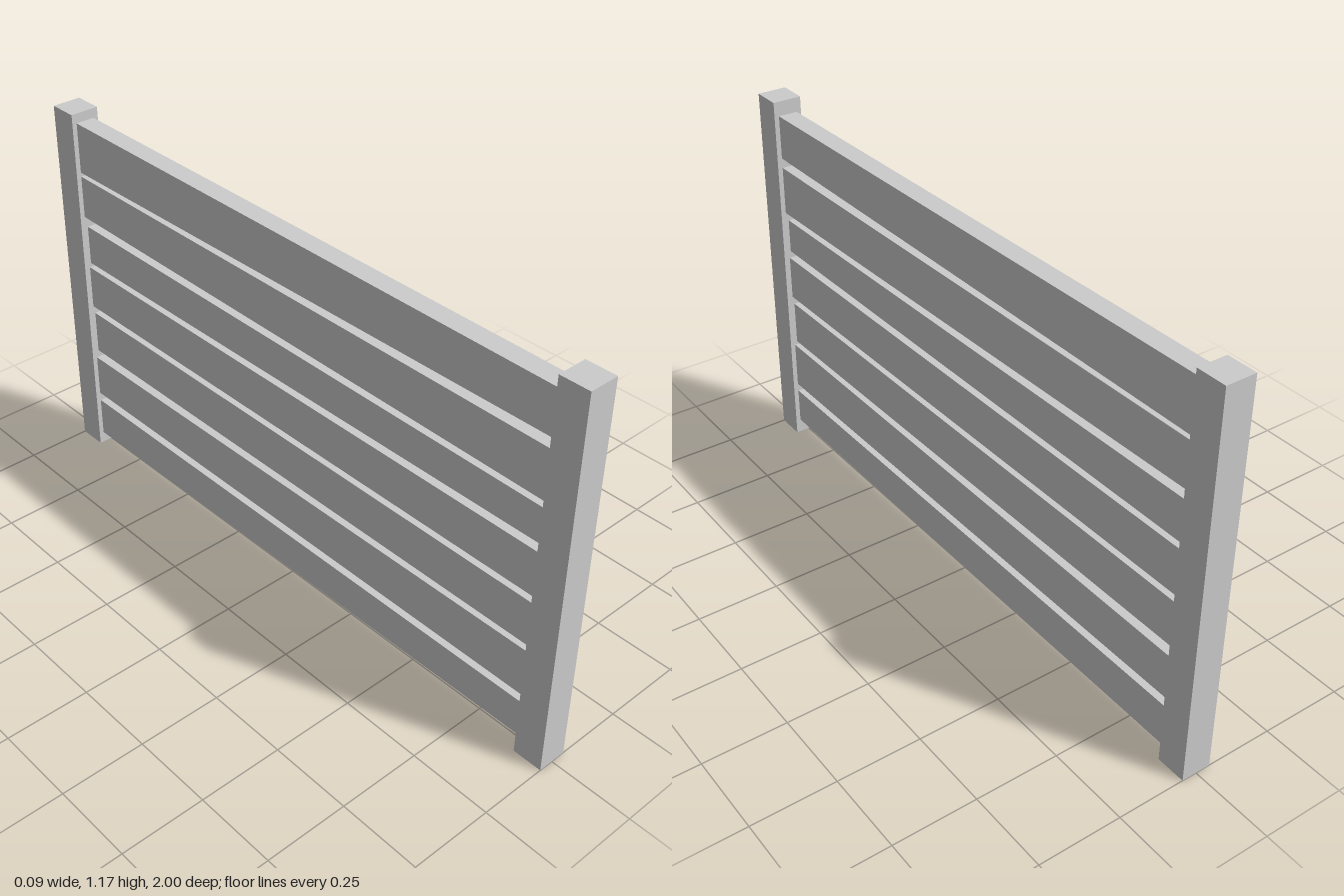
import * as THREE from 'three';

const material = new THREE.MeshStandardMaterial({ color: 0xcccccc, flatShading: true });

const POST = 0.09, HEIGHT = 1.17, INNER = 1 - POST;

// Each plank: bottom and top at the front end, bottom and top at the back end, half thickness
const PLANKS = [
  [0.046, 0.161, 0.037, 0.166, 0.03],
  [0.187, 0.337, 0.195, 0.332, 0.03],
  [0.348, 0.487, 0.356, 0.495, 0.022],
  [0.514, 0.653, 0.522, 0.661, 0.027],
  [0.675, 0.782, 0.675, 0.8, 0.022],
  [0.809, 0.959, 0.836, 0.97, 0.03],
  [0.99, 1.125, 0.983, 1.14, 0.03],
];

// Slightly tapered board running along z between the posts
function makePlank([frontLow, frontHigh, backLow, backHigh, half]) {
  const outline = new THREE.Shape([
    new THREE.Vector2(-INNER, backLow),
    new THREE.Vector2(INNER, frontLow),
    new THREE.Vector2(INNER, frontHigh),
    new THREE.Vector2(-INNER, backHigh),
  ]);
  const geometry = new THREE.ExtrudeGeometry(outline, { depth: 2 * half, bevelEnabled: false });
  geometry.translate(0, 0, -half).rotateY(-Math.PI / 2);
  return new THREE.Mesh(geometry, material);
}

export function createModel() {
  const fence = new THREE.Group();
  fence.name = 'fencePanel';

  // Square end posts
  for (const [name, side] of [['frontPost', 1], ['backPost', -1]]) {
    const post = new THREE.Mesh(new THREE.BoxGeometry(POST, HEIGHT, POST), material);
    post.name = name;
    post.position.set(0, HEIGHT / 2, side * (1 - POST / 2));
    fence.add(post);
  }

  // Horizontal planks, bottom to top
  PLANKS.forEach((sizes, i) => {
    const plank = makePlank(sizes);
    plank.name = `plank${i + 1}`;
    fence.add(plank);
  });

  return fence;
}
